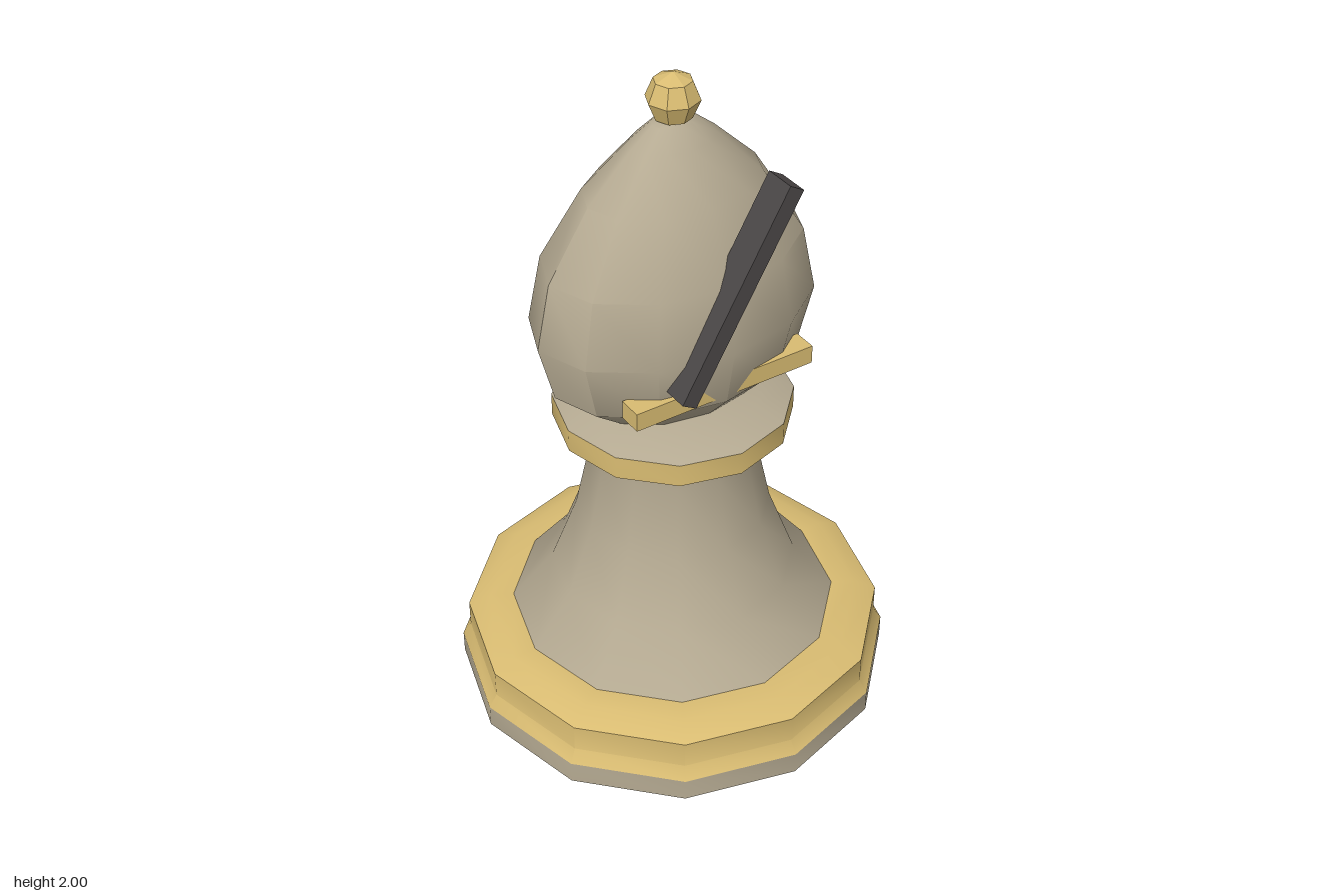
import * as THREE from 'three';
import { toCreasedNormals } from 'three/addons/utils/BufferGeometryUtils.js';

const material = (name, color) => {
  const m = new THREE.MeshStandardMaterial({ color });
  m.name = name;
  return m;
};

export function createModel() {
  const stone = material('warm stone', 0xb5aa92);
  const gold = material('gold', 0xd9bc72);
  const dark = material('dark slate', 0x4b4747);
  const group = new THREE.Group();

  const add = (name, geometry, mat) => {
    const mesh = new THREE.Mesh(geometry, mat);
    mesh.name = name;
    group.add(mesh);
    return mesh;
  };

  // Turned part: profile of [radius, height] from bottom to top, 12 sides
  const turned = (name, profile, mat, depth = 1) => {
    const points = profile.map(([r, y]) => new THREE.Vector2(r, y));
    const geometry = new THREE.LatheGeometry(points, 12);
    geometry.scale(1, 1, depth);
    return add(name, toCreasedNormals(geometry, 0.62), mat);
  };

  // Foot and gold base ring
  turned('foot', [[0, 0], [0.653, 0], [0.653, 0.07]], stone);
  turned('baseRing', [[0.653, 0.07], [0.628, 0.11], [0.628, 0.195], [0.56, 0.226], [0.49, 0.226]], gold);

  // Flared stem
  turned('stem', [[0.49, 0.226], [0.365, 0.385], [0.287, 0.59], [0.24, 0.81], [0.25, 0.915]], stone);

  // Collar with a sloping top
  turned('collar', [[0.24, 0.915], [0.347, 0.915], [0.347, 0.985]], gold);
  turned('collarTop', [[0.347, 0.985], [0.265, 1.022], [0, 1.022]], stone);

  // Mitre head, flattened front to back
  turned('head', [[0.265, 1.02], [0.385, 1.115], [0.431, 1.29], [0.39, 1.485],
    [0.265, 1.68], [0.13, 1.81], [0.065, 1.862], [0, 1.875]], stone, 0.7);

  // Faceted finial
  const ball = new THREE.SphereGeometry(0.075, 8, 4).toNonIndexed();
  ball.computeVertexNormals();
  add('finial', ball, gold).position.y = 1.925;

  // Slanted bar on the front of the head
  const bar = add('slantedBar', new THREE.BoxGeometry(0.05, 0.653, 0.095), dark);
  bar.position.set(0, 1.483, 0.283);
  bar.rotation.z = -Math.PI / 6;

  // Gold band across the brow
  add('browBand', new THREE.BoxGeometry(0.576, 0.056, 0.072), gold).position.set(0, 1.158, 0.23);

  return group;
}
